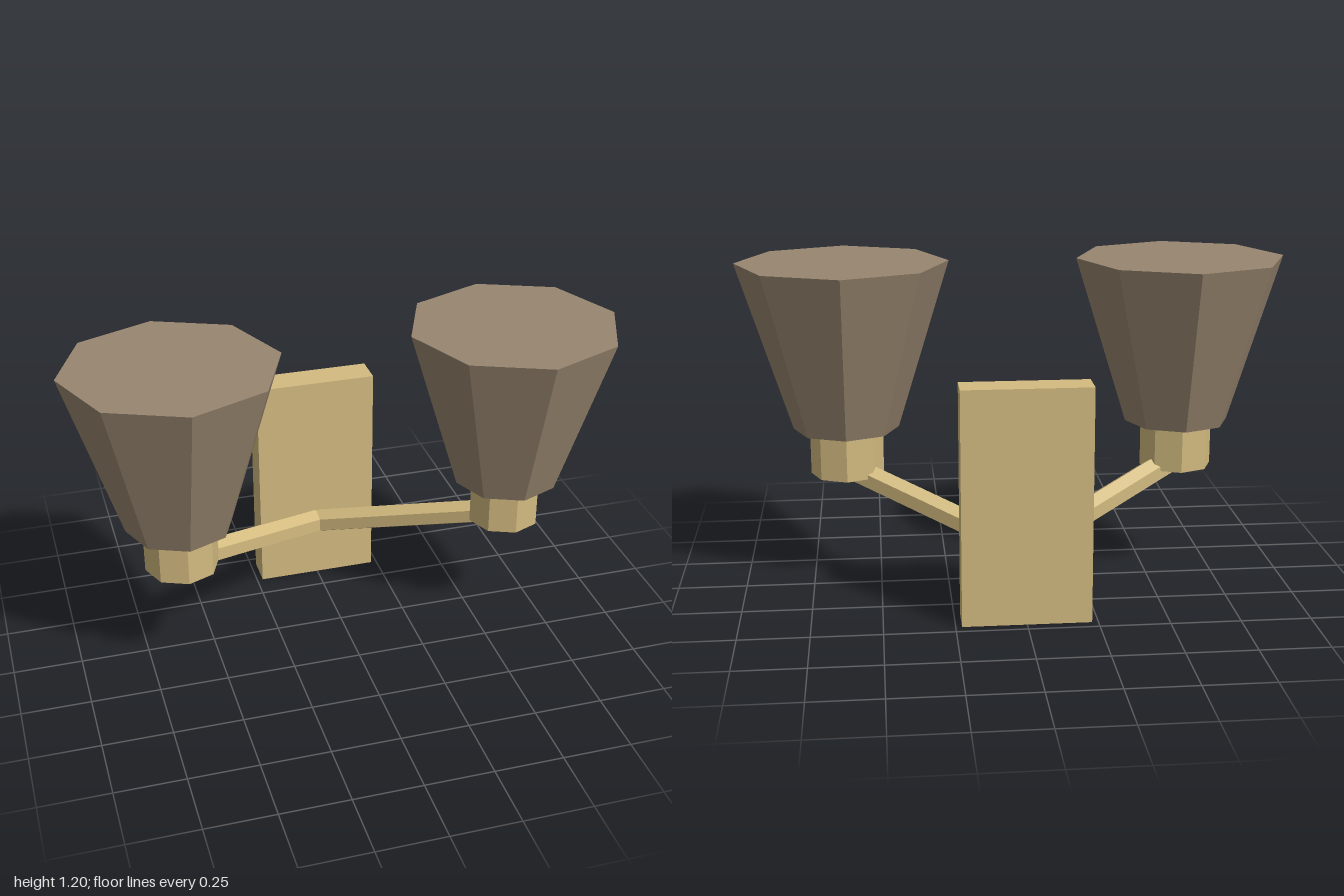
import * as THREE from 'three';

export function createModel() {
  const brass = new THREE.MeshStandardMaterial({ color: 0xd3bb80, flatShading: true });
  brass.name = 'brass';
  const shade = new THREE.MeshStandardMaterial({ color: 0x98866f, flatShading: true });
  shade.name = 'brown shade';

  const group = new THREE.Group();
  group.name = 'wallLamp';
  const add = (parent, name, geometry, material, x, y, z) => {
    const mesh = new THREE.Mesh(geometry, material);
    mesh.name = name;
    mesh.position.set(x, y, z);
    parent.add(mesh);
  };

  // Wall plate
  add(group, 'wallPlate', new THREE.BoxGeometry(0.456, 0.847, 0.117), brass, 0, 0.4235, -0.403);

  // Two lamps, each an octagonal socket with a flared shade
  for (const side of [1, -1]) {
    const lamp = new THREE.Group();
    lamp.name = side > 0 ? 'leftLamp' : 'rightLamp';
    lamp.position.set(side * 0.616, 0, 0.078);
    add(lamp, 'socket', new THREE.CylinderGeometry(0.134, 0.134, 0.172, 8), brass, 0, 0.495, 0);
    add(lamp, 'shade', new THREE.CylinderGeometry(0.384, 0.193, 0.615, 8), shade, 0, 0.8885, 0);
    group.add(lamp);
  }

  // Hexagonal bar bent into a V, mitred where its halves meet at the plate
  const start = new THREE.Vector3(0, 0.237, -0.35);
  const end = new THREE.Vector3(0.612, 0.43, 0.073);
  const along = end.clone().sub(start).normalize();
  const forward = new THREE.Vector3().crossVectors(along, new THREE.Vector3(0, 1, 0)).normalize();
  const up = new THREE.Vector3().crossVectors(forward, along);
  const bar = new THREE.CylinderGeometry(0.048, 0.048, 2, 6, 2);
  const pos = bar.attributes.position;
  for (let i = 0; i < pos.count; i++) {
    const half = Math.round(pos.getY(i));
    const p = end.clone().addScaledVector(forward, pos.getX(i)).addScaledVector(up, pos.getZ(i));
    if (half === 0) p.addScaledVector(along, -p.x / along.x);
    pos.setXYZ(i, half < 0 ? -p.x : p.x, p.y, p.z);
  }
  bar.computeVertexNormals();
  add(group, 'arms', bar, brass, 0, 0, 0);

  return group;
}
